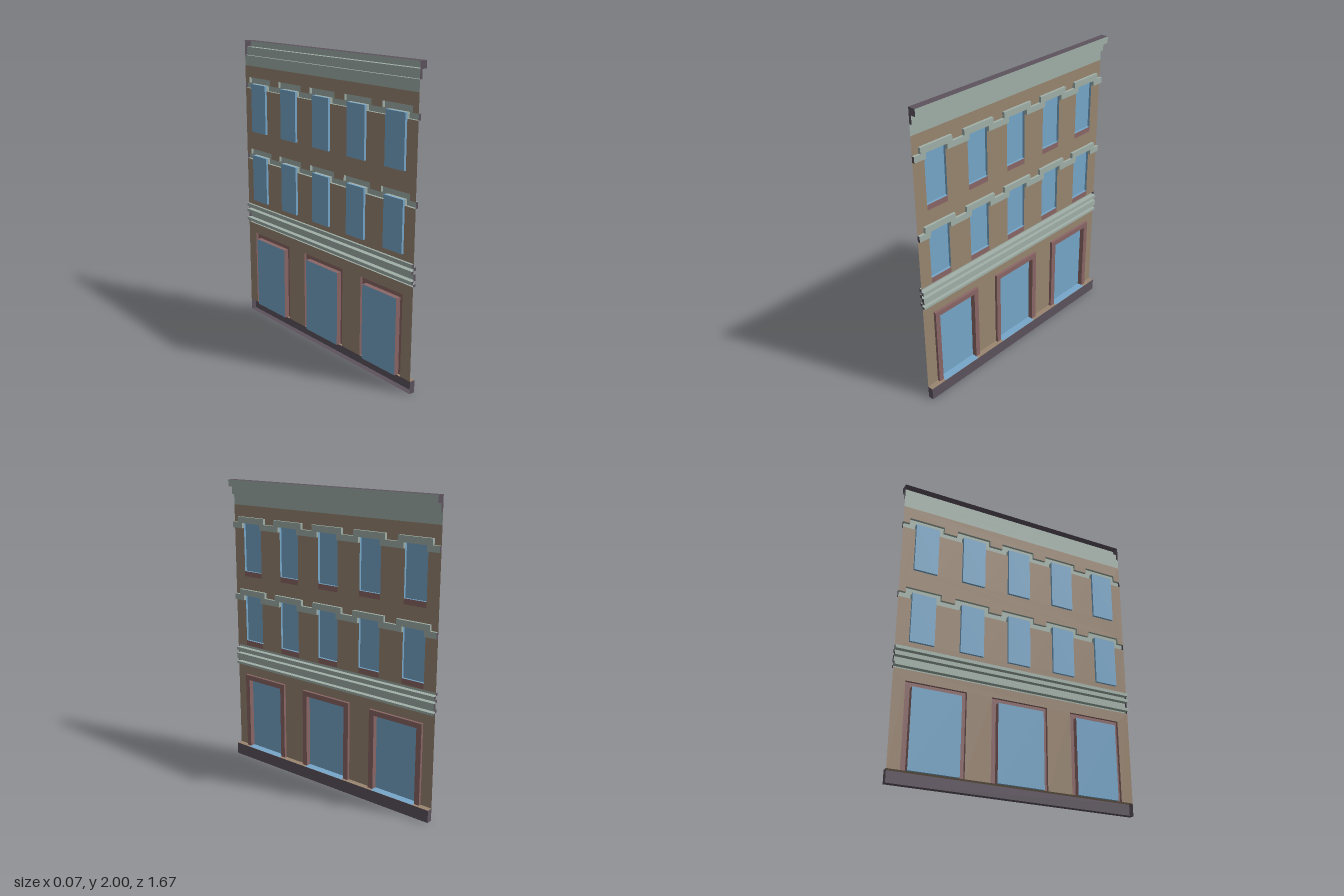
import * as THREE from 'three';

const mat = (name, color) => Object.assign(
  new THREE.MeshStandardMaterial({ color, side: THREE.DoubleSide }), { name });

export function createModel() {
  const wallMat = mat('brown wall', 0x998570), stone = mat('pale stone', 0xa0b0a8);
  const glass = mat('blue glass', 0x76a7ca), red = mat('red trim', 0x8b6666);
  const dark = mat('dark stone', 0x5d535e);

  const root = new THREE.Group();
  root.name = 'facade';
  // Built facing +z (u across, y up, d depth), then turned to face +x
  const body = new THREE.Group();
  body.name = 'facadeBody';
  body.rotation.y = Math.PI / 2;
  root.add(body);

  const H = 0.834, BACK = -0.034, WALL = -0.018, FRONT = 0, BASE = 0.021, TOP = 0.033;
  const bays = [-2, -1, 0, 1, 2].map(i => i * H * 0.4);

  const add = (name, geo, material) => {
    const m = new THREE.Mesh(geo, material);
    m.name = name;
    body.add(m);
  };
  // Flat polygon at a depth, with optional holes
  const face = (name, pts, d, material, holes = []) => {
    const v = p => p.map(([u, y]) => new THREE.Vector2(u, y));
    const shape = new THREE.Shape(v(pts));
    holes.forEach(h => shape.holes.push(new THREE.Path(v(h))));
    add(name, new THREE.ShapeGeometry(shape).translate(0, 0, d), material);
  };
  // Strip of quads between two matching rows of points
  const strip = (name, a, b, material) => {
    const pos = [];
    for (let i = 0; i < a.length - 1; i++)
      pos.push(...a[i], ...b[i], ...b[i + 1], ...a[i], ...b[i + 1], ...a[i + 1]);
    const g = new THREE.BufferGeometry();
    g.setAttribute('position', new THREE.Float32BufferAttribute(pos, 3));
    g.computeVertexNormals();
    add(name, g, material);
  };
  // Edge line (u, y) drawn through from depth d0 to d1
  const reveal = (name, pts, d0, d1, material) =>
    strip(name, pts.map(([u, y]) => [u, y, d0]), pts.map(([u, y]) => [u, y, d1]), material);
  // Profile (d, y) drawn along the facade from u0 to u1
  const moulding = (name, profile, material, u0 = -H, u1 = H) =>
    strip(name, profile.map(([d, y]) => [u0, y, d]), profile.map(([d, y]) => [u1, y, d]), material);
  // Flat closing piece at both ends of a moulding
  const endCaps = (name, y0, y1, d0, d1) => [-H, H].forEach(u =>
    strip(name, [[u, y0, d0], [u, y1, d0]], [[u, y0, d1], [u, y1, d1]], dark));
  const rect = (u0, u1, y0, y1) => [[u0, y0], [u1, y0], [u1, y1], [u0, y1]];
  const loop = pts => [...pts, pts[0]];
  // Line across all bays that steps from y0 to y1 around each window
  const stepped = (half, y0, y1) => [[-H, y0],
    ...bays.flatMap(c => [[c - half, y0], [c - half, y1], [c + half, y1], [c + half, y0]]),
    [H, y0]];
  const between = (lower, upper) => [...lower, ...[...upper].reverse()];

  // Plinth
  moulding('plinth', [[BASE, 0.083], [BASE, 0], [WALL, 0]], dark);
  moulding('plinthTop', [[WALL, 0.083], [BASE, 0.083]], wallMat);
  endCaps('plinthEnd', 0, 0.083, WALL, BASE);

  // Ground floor: large windows in red surrounds
  const shops = [[-0.75, -0.38, -0.715, -0.415], [-0.207, 0.186, -0.173, 0.148],
    [0.355, 0.753, 0.393, 0.716]];
  const arch = (u0, u1, top) => [[u0, 0.083], [u0, top], [u1, top], [u1, 0.083]];
  const groundEdge = [[-H, 0.083], ...shops.flatMap(([a, b]) => arch(a, b, 0.625)), [H, 0.083]];
  face('groundWall', between(groundEdge, [[-H, 0.695], [H, 0.695]]), WALL, wallMat);
  for (const [a, b, c, e] of shops) {
    const outer = arch(a, b, 0.625), inner = arch(c, e, 0.59);
    face('shopSurround', between(outer, inner), FRONT, red);
    reveal('shopSurroundSide', outer, WALL, FRONT, red);
    reveal('shopReveal', inner, BACK, FRONT, red);
    face('shopGlass', inner, BACK, glass);
    moulding('shopSill', [[BACK, 0.0835], [BASE - 0.001, 0.0835]], glass, c, e);
  }

  // Grooved belt course
  const levels = [0.838, 0.817, 0.795, 0.774, 0.732, 0.711, 0.695];
  const belt = [[WALL, levels[0]]];
  for (let i = 0; i < 6; i++) {
    const d = i % 2 ? FRONT : BACK;
    belt.push([d, levels[i]], [d, levels[i + 1]]);
    endCaps('beltEnd', levels[i + 1], levels[i], WALL, d);
  }
  belt.push([WALL, levels[6]]);
  moulding('beltCourse', belt, stone);

  // Two upper floors: windows, stepped hoods and the wall below each hood
  let lowerEdge = [[-H, 0.838], [H, 0.838]];
  for (const [sill, bottom, head, top] of [[0.878, 1.17, 1.207, 1.248], [1.376, 1.674, 1.71, 1.752]]) {
    face('upperWall', between(lowerEdge, stepped(0.08, bottom, sill)), WALL, wallMat);
    const under = stepped(0.08, bottom, head), over = stepped(0.12, head + 0.003, top);
    face('hood', between(under, over), FRONT, stone);
    reveal('hoodUnderside', under, WALL, FRONT, stone);
    reveal('hoodTop', over, WALL, FRONT, stone);
    endCaps('hoodEnd', bottom, head + 0.003, WALL, FRONT);
    for (const c of bays) {
      const opening = rect(c - 0.08, c + 0.08, sill, head);
      face('windowGlass', opening, BACK, glass);
      reveal('windowReveal', loop(opening), BACK, WALL, glass);
      face('windowSill', rect(c - 0.08, c + 0.08, sill - 0.036, sill), WALL + 0.001, red);
    }
    lowerEdge = over;
  }
  face('topWall', between(lowerEdge, [[-H, 1.83], [H, 1.83]]), WALL, wallMat);

  // Stepped cornice
  moulding('cornice', [[WALL, 1.83], [WALL, 1.9], [FRONT, 1.9], [FRONT, 1.955],
    [TOP, 1.955], [TOP, 2]], stone);
  moulding('corniceTop', [[TOP, 2], [WALL, 2]], dark);
  endCaps('corniceEnd', 1.9, 1.955, WALL, FRONT);
  endCaps('corniceEnd', 1.955, 2, WALL, TOP);

  return root;
}
